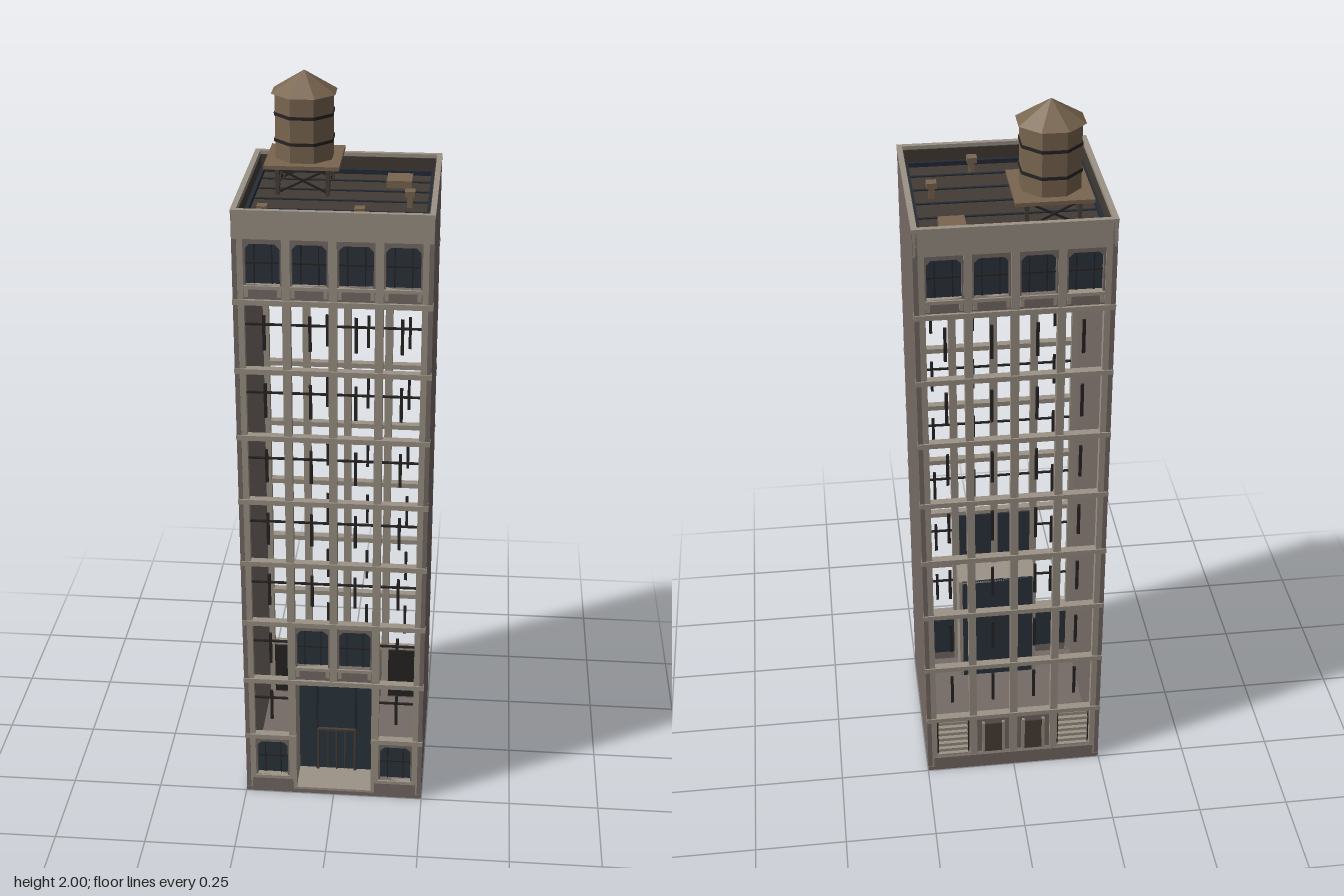
import * as THREE from 'three';

const mat = (name, color, extra = {}) => {
  const m = new THREE.MeshStandardMaterial({ color, ...extra });
  m.name = name;
  return m;
};

export function createModel() {
  const trim = mat('pale stone trim', 0x9c9387);
  const brick = mat('grey brown wall', 0x766b66);
  const glass = mat('navy glass', 0x2b343d);
  const roofing = mat('dark roofing', 0x423b35);
  const wood = mat('tank wood', 0x7a6650);
  const iron = mat('black iron', 0x272423);
  const bronze = mat('door bronze', 0x4a3f37);
  const flashing = mat('roof flashing', 0x252c35);

  const model = new THREE.Group();
  model.name = 'tower block';

  const group = (parent, name) => {
    const g = new THREE.Group();
    g.name = name;
    parent.add(g);
    return g;
  };
  const add = (parent, name, geo, material, x = 0, y = 0, z = 0) => {
    const m = new THREE.Mesh(geo, material);
    m.name = name;
    m.position.set(x, y, z);
    parent.add(m);
    return m;
  };
  // Box given by its limits on each axis
  const box = (parent, name, material, x0, x1, y0, y1, z0, z1) =>
    add(parent, name, new THREE.BoxGeometry(x1 - x0, y1 - y0, z1 - z0), material,
      (x0 + x1) / 2, (y0 + y1) / 2, (z0 + z1) / 2);

  const FLOOR = 0.188, HALF = 0.0475, ROOF = 1.69;
  const bays = [-0.174, -0.058, 0.058, 0.174];

  // Open window: thin glazing bars only
  const openWindow = (parent, x, row, cross) => {
    const y = row * FLOOR, g = group(parent, 'openWindow');
    box(g, 'uprightBar', iron, x - 0.004, x + 0.004, y + 0.055, y + 0.15, 0.232, 0.238);
    if (cross) box(g, 'crossBar', iron, x - HALF, x + HALF, y + 0.123, y + 0.128, 0.232, 0.238);
  };

  // Glazed window: wall panel with a clipped opening, glass, bars and sill
  const glazedWindow = (parent, x, y, h) => {
    const g = group(parent, 'glazedWindow');
    g.position.set(x, y, 0);
    const s = new THREE.Shape([[-HALF, 0], [HALF, 0], [HALF, h], [-HALF, h]].map(p => new THREE.Vector2(...p)));
    const w = 0.043, b = h * 0.24, t = h * 0.9, c = 0.012;
    s.holes.push(new THREE.Path([[-w, b], [-w, t - c], [-w + c, t], [w - c, t], [w, t - c], [w, b]]
      .map(p => new THREE.Vector2(...p))));
    add(g, 'windowSurround', new THREE.ExtrudeGeometry(s, { depth: 0.016, bevelEnabled: false }), brick, 0, 0, 0.226);
    box(g, 'pane', glass, -HALF, HALF, b - 0.01, h, 0.22, 0.226);
    for (const bx of [-0.022, 0.022]) box(g, 'paneBar', iron, bx - 0.0015, bx + 0.0015, b, t, 0.226, 0.229);
    box(g, 'paneRail', iron, -w, w, h * 0.56, h * 0.56 + 0.004, 0.226, 0.229);
    box(g, 'sill', trim, -HALF, HALF, b - 0.009, b, 0.226, 0.247);
    for (const sx of [-1, 1]) box(g, 'sillBracket', trim, sx * 0.041 - 0.005, sx * 0.041 + 0.005, b - 0.03, b - 0.009, 0.24, 0.246);
  };

  // Louvred vent for the service side
  const vent = (parent, x) => {
    const g = group(parent, 'louvredVent');
    box(g, 'ventBack', iron, x - HALF, x + HALF, 0.02, 0.185, 0.222, 0.228);
    for (let i = 0; i < 7; i++) {
      const y = 0.045 + i * 0.02;
      box(g, 'louvre', trim, x - 0.042, x + 0.042, y - 0.005, y + 0.005, 0.228, 0.24);
    }
  };

  // Plain service door
  const serviceDoor = (parent, x) => {
    const g = group(parent, 'serviceDoor');
    box(g, 'doorSurround', brick, x - HALF, x + HALF, 0.02, 0.185, 0.222, 0.234);
    box(g, 'doorLeaf', bronze, x - 0.025, x + 0.025, 0.02, 0.15, 0.234, 0.238);
    for (const s of [-1, 1]) box(g, 'doorJamb', trim, x + s * 0.029 - 0.004, x + s * 0.029 + 0.004, 0.02, 0.158, 0.234, 0.242);
  };

  // Recessed main entrance
  const entrance = (parent) => {
    const g = group(parent, 'entrance');
    box(g, 'entranceScreen', glass, -0.106, 0.106, 0.012, 0.376, 0.14, 0.148);
    for (const s of [-1, 1]) {
      box(g, 'entranceSide', trim, s * 0.111 - 0.005, s * 0.111 + 0.005, 0.012, 0.376, 0.14, 0.24);
      box(g, 'screenPost', flashing, s * 0.055 - 0.003, s * 0.055 + 0.003, 0.012, 0.37, 0.148, 0.153);
      box(g, 'doorFrame', bronze, s * 0.053 - 0.003, s * 0.053 + 0.003, 0.012, 0.155, 0.15, 0.156);
      box(g, 'doorStile', bronze, s * 0.024 - 0.0015, s * 0.024 + 0.0015, 0.02, 0.15, 0.148, 0.154);
    }
    box(g, 'doorHead', bronze, -0.056, 0.056, 0.152, 0.158, 0.148, 0.156);
    box(g, 'doorMeeting', bronze, -0.002, 0.002, 0.012, 0.152, 0.148, 0.155);
    box(g, 'entranceFloor', trim, -0.106, 0.106, 0.012, 0.016, 0.148, 0.245);
    box(g, 'entranceCeiling', trim, -0.106, 0.106, 0.368, 0.376, 0.14, 0.24);
  };

  // One facade: piers, floor bands, frieze and the cells between them
  const facade = (name, isFront) => {
    const g = group(model, name);
    for (const s of [-1, 1]) {
      box(g, 'cornerPier', trim, s > 0 ? 0.2215 : -0.248, s > 0 ? 0.248 : -0.2215, 0.012, 1.68, 0.225, 0.246);
      box(g, 'pier', trim, s * 0.116 - 0.0105, s * 0.116 + 0.0105, 0.012, 1.68, 0.225, 0.246);
    }
    box(g, 'middlePier', trim, -0.0105, 0.0105, isFront ? 0.37 : 0.012, 1.68, 0.225, 0.246);
    box(g, 'frieze', trim, -0.248, 0.248, 1.67, 1.737, 0.236, 0.247);
    for (let k = 1; k <= 8; k++) {
      if (isFront && k === 1) {
        for (const s of [-1, 1]) box(g, 'floorBand', trim, s * 0.1775 - 0.0725, s * 0.1775 + 0.0725, 0.181, 0.195, 0.228, 0.25);
      } else box(g, 'floorBand', trim, -0.25, 0.25, k * FLOOR - 0.007, k * FLOOR + 0.007, 0.228, 0.25);
    }
    bays.forEach((x, i) => {
      const inner = i === 1 || i === 2;
      for (let row = 0; row < 8; row++) {
        if (isFront && inner && row < 2) continue;
        if (isFront && inner && row === 2) glazedWindow(g, x, 0.381, 0.18);
        else if (row > 0) openWindow(g, x, row, isFront);
        else if (isFront) glazedWindow(g, x, 0.012, 0.172);
        else if (inner) serviceDoor(g, x);
        else vent(g, x);
      }
      glazedWindow(g, x, 1.508, 0.165);
      if (!(isFront && inner)) box(g, 'plinth', brick, x - 0.058, x + 0.058, 0.012, 0.045, 0.228, 0.249);
    });
    if (isFront) entrance(g);
    return g;
  };
  facade('frontFacade', true);
  facade('backFacade', false).rotation.y = Math.PI;

  // Solid side walls, base slab, coping
  for (const s of [-1, 1]) {
    box(model, 'sideWall', brick, s > 0 ? 0.237 : -0.249, s > 0 ? 0.249 : -0.237, 0.01, 1.737, -0.247, 0.247);
    box(model, 'sideCoping', trim, s > 0 ? 0.236 : -0.25, s > 0 ? 0.25 : -0.236, 1.735, 1.745, -0.25, 0.25);
    box(model, 'endCoping', trim, -0.236, 0.236, 1.735, 1.745, s > 0 ? 0.236 : -0.25, s > 0 ? 0.25 : -0.236);
  }
  box(model, 'baseSlab', brick, -0.249, 0.249, 0, 0.012, -0.249, 0.249);

  // Roof deck with seams and edge flashing
  const roof = group(model, 'roof');
  box(roof, 'roofDeck', roofing, -0.237, 0.237, ROOF - 0.012, ROOF, -0.237, 0.237);
  for (let i = -2; i <= 2; i++) box(roof, 'roofSeam', flashing, -0.225, 0.225, ROOF, ROOF + 0.003, i * 0.0815 - 0.0035, i * 0.0815 + 0.0035);
  for (let i = 0; i < 4; i++) {
    const side = group(roof, 'parapetLining');
    side.rotation.y = i * Math.PI / 2;
    box(side, 'lining', roofing, -0.236, 0.236, ROOF, 1.735, 0.233, 0.2365);
    box(side, 'edgeFlashing', flashing, -0.233, 0.233, ROOF, ROOF + 0.012, 0.223, 0.233);
  }
  box(roof, 'roofHatch', wood, 0.11, 0.176, ROOF, ROOF + 0.02, -0.18, -0.112);
  for (const [x, z] of [[0.178, 0.035], [-0.18, 0.176], [0.061, 0.176]]) {
    const v = group(roof, 'roofVent');
    box(v, 'ventPipe', wood, x - 0.007, x + 0.007, ROOF, 1.725, z - 0.007, z + 0.007);
    box(v, 'ventCap', wood, x - 0.013, x + 0.013, 1.72, 1.735, z - 0.013, z + 0.013);
  }

  // Water tank on a braced stand
  const tank = group(model, 'waterTank');
  tank.position.set(-0.102, 0, -0.103);
  const K = 1 / Math.cos(Math.PI / 8);
  const octagon = (name, material, top, bottom, y0, y1) => {
    const geo = new THREE.CylinderGeometry(top * K, bottom * K, y1 - y0, 8).toNonIndexed();
    geo.computeVertexNormals();
    add(tank, name, geo, material, 0, (y0 + y1) / 2, 0).rotation.y = Math.PI / 8;
  };
  octagon('tankBody', wood, 0.073, 0.073, 1.776, 1.948);
  octagon('tankRoof', wood, 0.0001, 0.082, 1.945, 2);
  for (const y of [1.825, 1.893]) octagon('tankHoop', iron, 0.0755, 0.0755, y - 0.004, y + 0.004);
  box(tank, 'platform', wood, -0.097, 0.097, 1.766, 1.776, -0.097, 0.097);
  for (const s of [-1, 1]) {
    box(tank, 'platformBeam', bronze, -0.09, 0.09, 1.757, 1.766, s * 0.065 - 0.005, s * 0.065 + 0.005);
    for (const t of [-1, 1]) box(tank, 'standLeg', bronze, s * 0.065 - 0.005, s * 0.065 + 0.005, ROOF, 1.766, t * 0.065 - 0.005, t * 0.065 + 0.005);
  }
  for (let i = 0; i < 4; i++) {
    const side = group(tank, 'standBracing');
    side.rotation.y = i * Math.PI / 2;
    for (const s of [-1, 1])
      add(side, 'brace', new THREE.BoxGeometry(0.14, 0.005, 0.004), iron, 0, 1.728, 0.065 + s * 0.002).rotation.z = s * 0.46;
  }
  return model;
}
